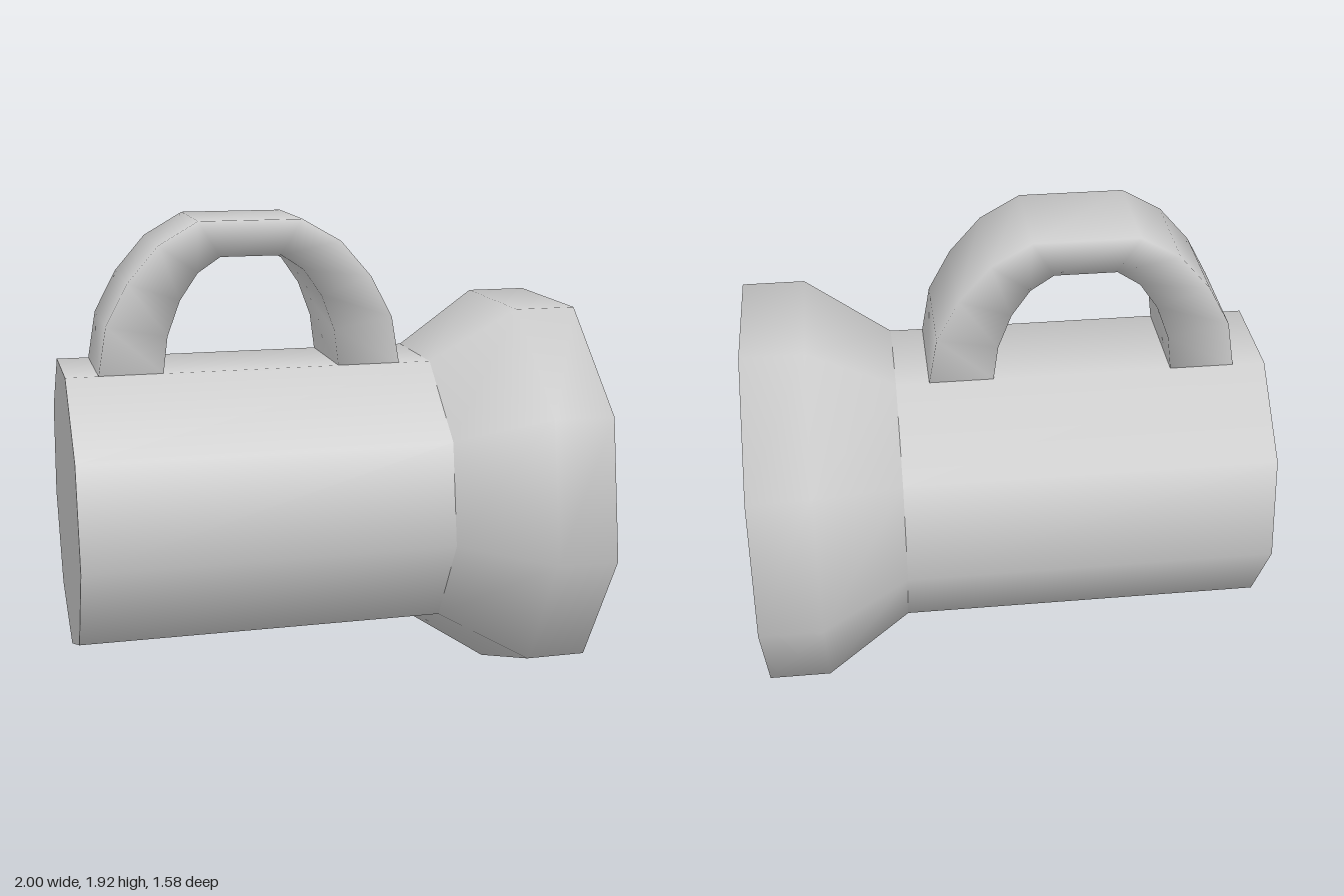
import * as THREE from 'three';

const SIDES = 9;
const AXIS_Y = 0.805;

export function createModel() {
  const group = new THREE.Group();
  const material = new THREE.MeshStandardMaterial({ color: 0xcccccc });

  const add = (name, geometry) => {
    const mesh = new THREE.Mesh(geometry, material);
    mesh.name = name;
    group.add(mesh);
    return mesh;
  };

  // Nine-sided shell around the x axis, one corner pointing down; points are [x, radius]
  const shell = (name, points) => {
    const profile = points.map(([x, r]) => new THREE.Vector2(r, x));
    const geometry = new THREE.LatheGeometry(profile, SIDES, Math.PI / 2);
    geometry.rotateZ(-Math.PI / 2);
    add(name, geometry).position.y = AXIS_Y;
  };

  // Flat nine-sided disc facing along x
  const disc = (name, x, radius, facing) => {
    const geometry = new THREE.CircleGeometry(radius, SIDES, -Math.PI / 2);
    geometry.rotateY(facing * Math.PI / 2);
    add(name, geometry).position.set(x, AXIS_Y, 0);
  };

  // Barrel, and flared head with a flat rim and recessed lens
  shell('barrel', [[-1, 0.585], [0.43, 0.585]]);
  shell('head', [[0.43, 0.585], [0.76, 0.804], [1, 0.804], [1, 0.69], [0.89, 0.69]]);
  disc('endCap', -1, 0.585, -1);
  disc('lens', 0.89, 0.69, 1);

  add('handle', handleGeometry());
  return group;
}

// Arched handle: a rectangular section swept from one foot to the other, softly shaded
function handleGeometry() {
  const centre = -0.286;
  const halfWidth = 0.2;
  // Half arch as [outer offset, outer y, inner offset, inner y], from foot to crown
  const half = [
    [0.589, 1.355, 0.343, 1.355],
    [0.557, 1.54, 0.325, 1.495],
    [0.472, 1.70, 0.275, 1.63],
    [0.352, 1.838, 0.205, 1.732],
    [0.2, 1.925, 0.118, 1.79],
  ];
  const mirrored = half.map(([a, b, c, d]) => [-a, b, -c, d]);
  const sections = [...mirrored, ...half.reverse()];

  const positions = [];
  const indices = [];
  sections.forEach(([ox, oy, ix, iy], i) => {
    positions.push(
      centre + ox, oy, halfWidth,
      centre + ox, oy, -halfWidth,
      centre + ix, iy, -halfWidth,
      centre + ix, iy, halfWidth,
    );
    if (i === 0) return;
    for (let k = 0; k < 4; k++) {
      const next = (k + 1) % 4;
      const a = (i - 1) * 4 + k, b = (i - 1) * 4 + next;
      const c = i * 4 + next, d = i * 4 + k;
      indices.push(a, d, c, a, c, b);
    }
  });

  const geometry = new THREE.BufferGeometry();
  geometry.setAttribute('position', new THREE.Float32BufferAttribute(positions, 3));
  geometry.setIndex(indices);
  geometry.computeVertexNormals();
  return geometry;
}
